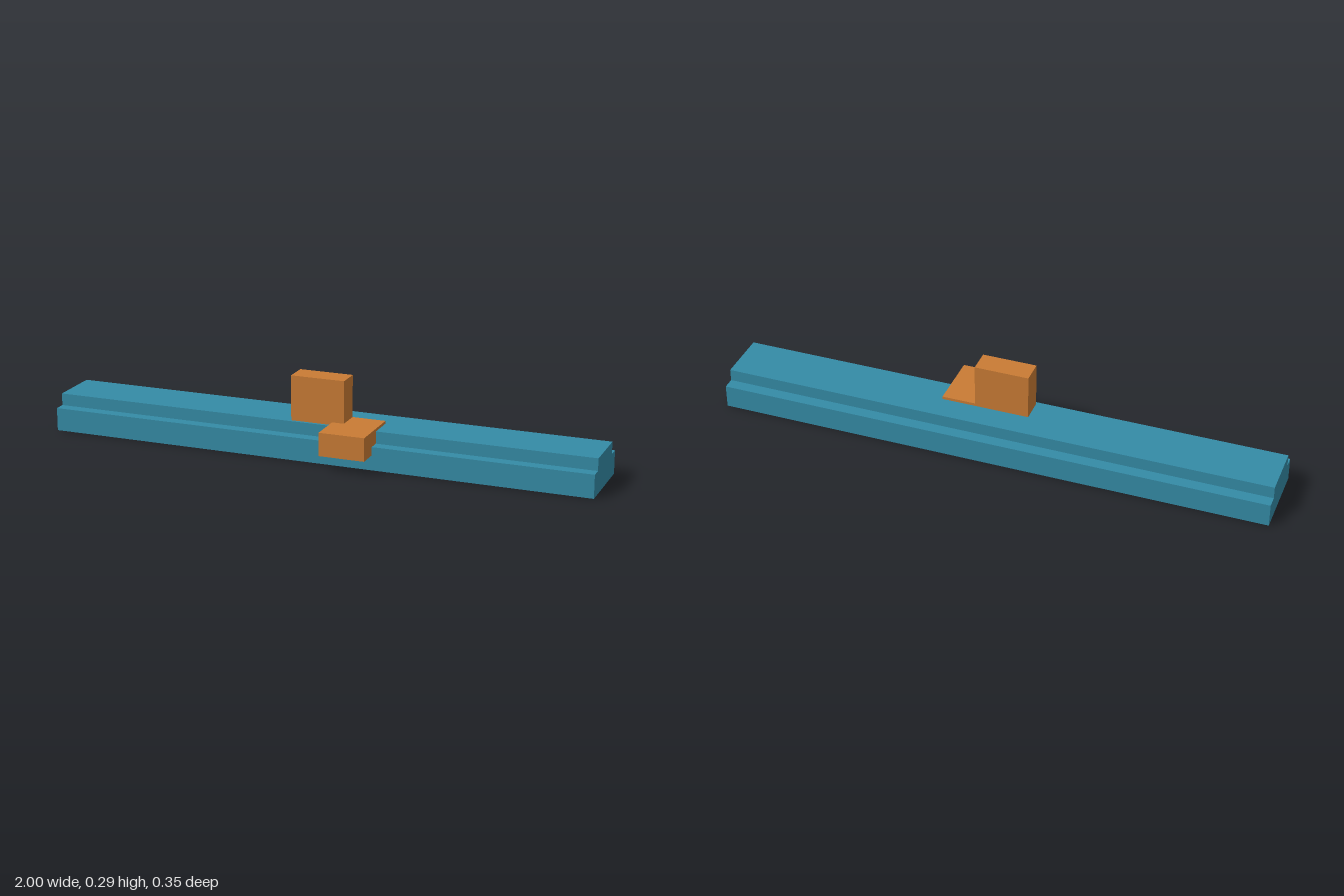
import * as THREE from 'three';

export function createModel() {
  const model = new THREE.Group();
  const teal = new THREE.MeshStandardMaterial({ name: 'teal', color: 0x348ba6 });
  const orange = new THREE.MeshStandardMaterial({ name: 'orange', color: 0xc97b34 });

  const add = (name, geometry, material) => {
    const mesh = new THREE.Mesh(geometry, material);
    mesh.name = name;
    model.add(mesh);
  };

  // Box given by its extents on each axis
  const block = ([x0, x1], [y0, y1], [z0, z1]) =>
    new THREE.BoxGeometry(x1 - x0, y1 - y0, z1 - z0)
      .translate((x0 + x1) / 2, (y0 + y1) / 2, (z0 + z1) / 2);

  // Stepped rail: (z, y) section swept along x
  const section = new THREE.Shape([
    [-0.174, 0], [0.1, 0], [0.1, 0.084], [0.059, 0.084],
    [0.059, 0.128], [-0.131, 0.128], [-0.131, 0.084], [-0.174, 0.084],
  ].map(([z, y]) => new THREE.Vector2(z, y)));
  const rail = new THREE.ExtrudeGeometry(section, { depth: 2, bevelEnabled: false })
    .rotateY(-Math.PI / 2)
    .translate(1, 0, 0);
  add('steppedRail', rail, teal);

  // Upright stop standing on the rail
  add('uprightBlock', block([-0.1, 0.097], [0.128, 0.291], [-0.036, 0.048]), orange);

  // Cross block let into the rail and overhanging its front
  add('crossBlock', block([0.053, 0.219], [0.054, 0.138], [-0.036, 0.174]), orange);

  return model;
}
